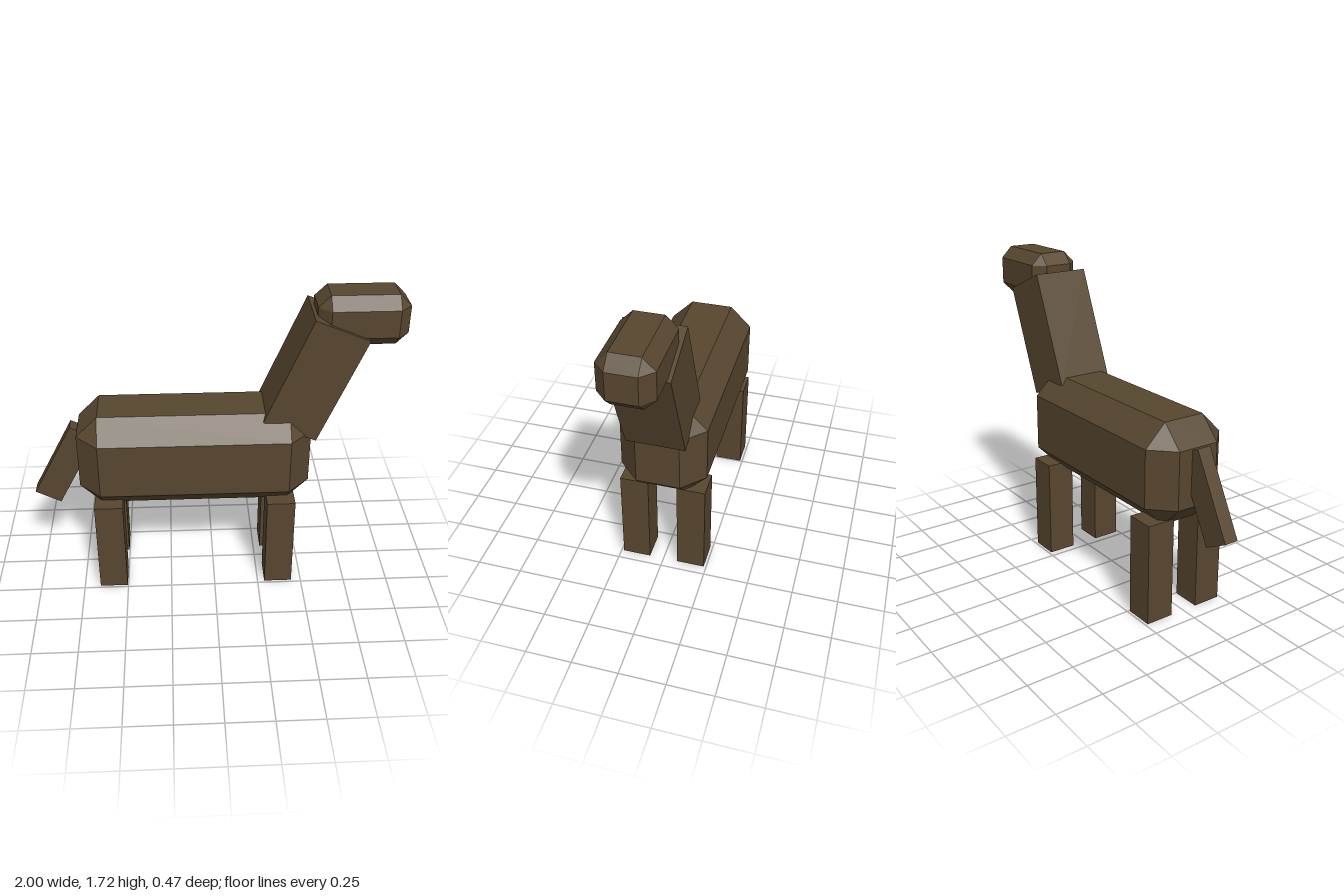
import * as THREE from 'three';
import { ConvexGeometry } from 'three/addons/geometries/ConvexGeometry.js';

// Box with every edge and corner cut flat by c
function chamferedBox(w, h, d, c) {
  const [x, y, z] = [w / 2, h / 2, d / 2];
  const points = [];
  for (const sx of [-1, 1]) for (const sy of [-1, 1]) for (const sz of [-1, 1]) {
    points.push(
      new THREE.Vector3(sx * x, sy * (y - c), sz * (z - c)),
      new THREE.Vector3(sx * (x - c), sy * y, sz * (z - c)),
      new THREE.Vector3(sx * (x - c), sy * (y - c), sz * z)
    );
  }
  return new ConvexGeometry(points);
}

export function createModel() {
  const model = new THREE.Group();
  model.name = 'horse';
  const coat = new THREE.MeshStandardMaterial({ color: 0x57462f, flatShading: true });
  coat.name = 'brown coat';

  function add(name, geometry, x, y, z = 0, tilt = 0) {
    const mesh = new THREE.Mesh(geometry, coat);
    mesh.name = name;
    mesh.position.set(x, y, z);
    mesh.rotation.z = tilt;
    model.add(mesh);
  }

  // Trunk and head
  add('body', chamferedBox(1.262, 0.55, 0.472, 0.118), -0.107, 0.793);
  add('head', chamferedBox(0.472, 0.272, 0.276, 0.062), 0.761, 1.581);

  // Neck leans towards the head, tail hangs away from the rump
  add('neck', new THREE.BoxGeometry(0.31, 0.634, 0.314), 0.525, 1.267, 0, -0.396);
  add('tail', new THREE.BoxGeometry(0.155, 0.476, 0.078), -0.82, 0.715, 0, -0.49);

  // Four legs, one pair at each end
  const leg = new THREE.BoxGeometry(0.156, 0.555, 0.156);
  for (const [end, x] of [['fore', 0.367], ['hind', -0.582]]) {
    for (const s of [-1, 1]) {
      add(`${end}Leg${s > 0 ? 'Near' : 'Far'}`, leg, x, 0.2775, s * 0.158);
    }
  }
  return model;
}
